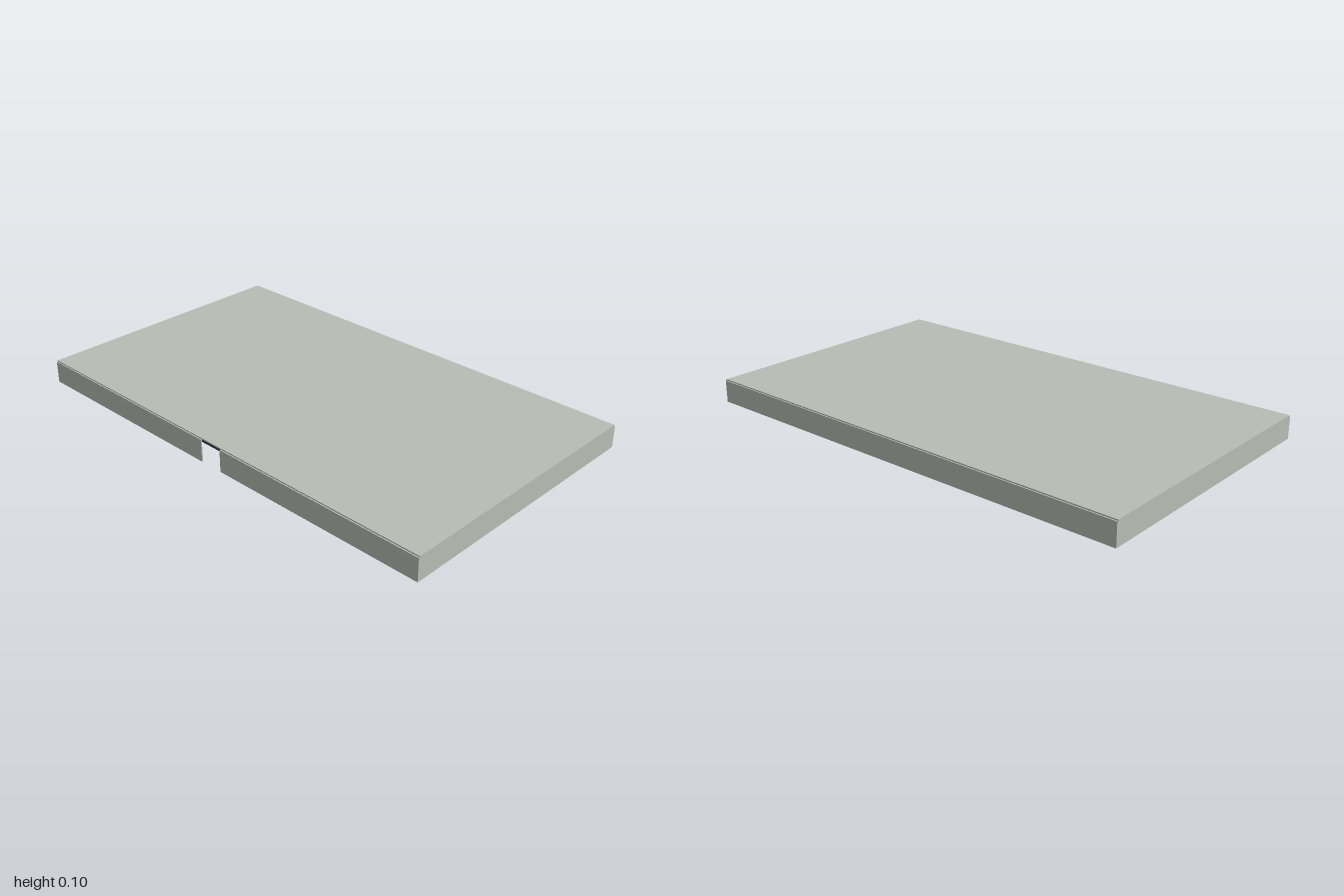
import * as THREE from 'three';

const W = 1.174, L = 2, H = 0.1, T = 0.005, PLATE = 0.005;
const UNDER = H - PLATE; // underside of the top plate

export function createModel() {
  const model = new THREE.Group();
  model.name = 'openBottomCover';
  const mat = (name, color) => {
    const m = new THREE.MeshStandardMaterial({ color });
    m.name = name;
    return m;
  };
  const shell = mat('greyShell', 0xb8bcb4);
  const steel = mat('blueGreySteel', 0x4e5d6a);
  const rail = mat('railGrey', 0x485055);
  const dark = mat('darkFittings', 0x383d3f);

  // box given by its size and centre
  const box = (name, m, sx, sy, sz, x, y, z, parent = model) => {
    const mesh = new THREE.Mesh(new THREE.BoxGeometry(sx, sy, sz), m);
    mesh.position.set(x, y, z);
    mesh.name = name;
    parent.add(mesh);
  };
  // box hanging from the underside of the plate
  const hang = (name, m, sx, sy, sz, x, z, parent = model) =>
    box(name, m, sx, sy, sz, x, UNDER - sy / 2, z, parent);

  // top plate, set in slightly from the long walls
  box('topPlate', shell, W - 2 * T, PLATE, L, 0, H - PLATE / 2, 0);

  // side walls, the right-hand one split by a cable notch
  for (const s of [1, -1]) box('endWall', shell, W, UNDER, T, 0, UNDER / 2, s * (L - T) / 2);
  const sideWall = (x, z0, z1) =>
    box('sideWall', shell, T, UNDER, z1 - z0, x, UNDER / 2, (z0 + z1) / 2);
  const wx = (W - T) / 2, ez = L / 2 - T;
  sideWall(wx, -ez, ez);
  sideWall(-wx, -ez, -0.055);
  sideWall(-wx, 0.05, ez);
  hang('notchLip', dark, T, 0.01, 0.105, -wx + T, -0.0025);

  // folded brackets: web, lower flange, tall end tab and small stiffening tabs
  const bracket = (x0, x1, z) => {
    const g = new THREE.Group();
    g.name = 'bracket';
    const len = x1 - x0, mid = (x0 + x1) / 2, h = 0.06;
    hang('bracketWeb', rail, len, h, 0.005, mid, z, g);
    box('bracketFlange', rail, len, 0.004, 0.025, mid, UNDER - h + 0.002, z + 0.0125, g);
    hang('bracketEndTab', steel, 0.005, 0.088, 0.045, x1, z + 0.015, g);
    for (const f of [0.25, 0.5, 0.75])
      box('bracketTab', dark, 0.02, 0.014, 0.008, x0 + len * f, UNDER - h * 0.35, z - 0.005, g);
    model.add(g);
  };
  for (const z of [-0.72, -0.477, -0.235]) bracket(-0.05, 0.44, z);
  bracket(-0.575, -0.352, 0.57);

  // thin standoff posts on a grid
  const postGeo = new THREE.CylinderGeometry(0.0035, 0.0035, 0.09, 8);
  for (const x of [0.515, -0.1, -0.48])
    for (const z of [0.917, 0.3, -0.27, -0.905]) {
      const post = new THREE.Mesh(postGeo, dark);
      post.position.set(x, UNDER - 0.045, z);
      post.name = 'standoffPost';
      model.add(post);
    }

  // small flat pads
  for (const x of [0.175, -0.3])
    for (const z of [0.84, 0.42, 0, -0.412, -0.807]) {
      if ((x > 0 && z === 0.42) || (x < 0 && z === 0)) continue;
      hang('pad', dark, 0.045, 0.005, 0.02, x, z);
    }
  hang('pad', dark, 0.03, 0.005, 0.02, 0.463, 0);

  // connector on a mounting plate
  hang('connectorPlate', shell, 0.245, 0.004, 0.065, 0.09, 0.415);
  hang('connectorBar', dark, 0.18, 0.03, 0.02, 0.09, 0.42);

  // latch next to the notch
  hang('latchPlate', shell, 0.15, 0.004, 0.075, -0.38, 0);
  hang('latchBar', dark, 0.09, 0.025, 0.022, -0.375, 0.01);
  hang('latchBlock', dark, 0.035, 0.03, 0.025, -0.385, -0.035);

  // socket on the front end wall
  box('endSocket', dark, 0.12, 0.03, 0.025, -0.245, 0.045, 0.98);
  box('endSocketBlock', dark, 0.025, 0.02, 0.025, -0.29, 0.075, 0.978);

  // small clips
  hang('clip', dark, 0.05, 0.02, 0.012, 0.389, 0.778);
  hang('clip', dark, 0.02, 0.03, 0.025, 0.363, 0.955);
  for (const z of [0.475, -0.459, -0.72]) hang('wallClip', dark, 0.03, 0.024, 0.04, -0.565, z);

  return model;
}
